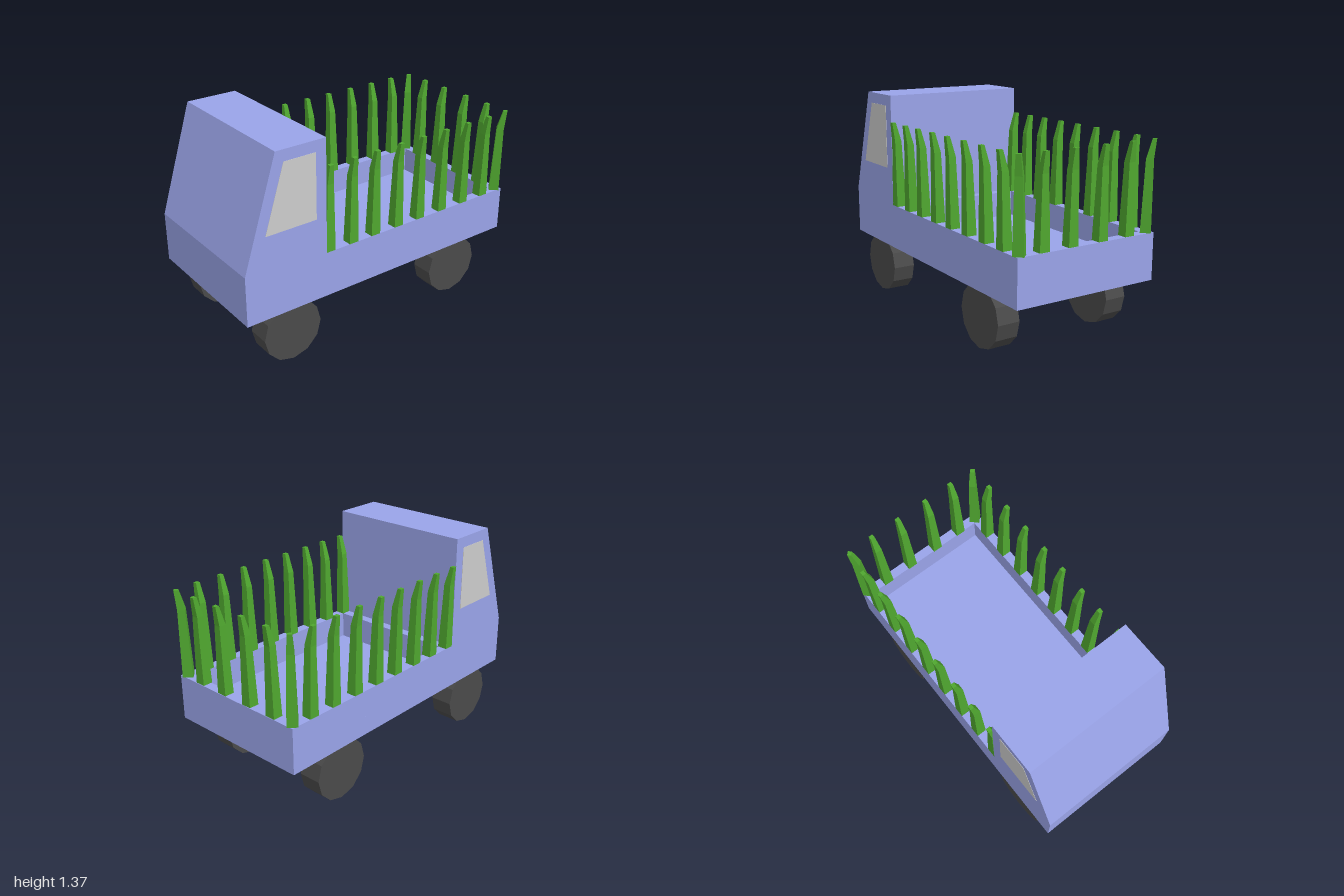
import * as THREE from 'three';

const paint = new THREE.MeshStandardMaterial({ color: 0x99a3e8, flatShading: true });
const glass = new THREE.MeshStandardMaterial({ color: 0xcccccc, flatShading: true });
const rubber = new THREE.MeshStandardMaterial({ color: 0x4a4a4a, flatShading: true });
const green = new THREE.MeshStandardMaterial({ color: 0x4fa62f, flatShading: true });

const HALF = 0.48, BOTTOM = 0.36, RIM = 0.65, FLOOR = 0.48;

function add(parent, name, geometry, material, x = 0, y = 0, z = 0) {
  const mesh = new THREE.Mesh(geometry, material);
  mesh.name = name;
  mesh.position.set(x, y, z);
  parent.add(mesh);
  return mesh;
}

// Side profile given as [z, y] points, extruded along x and centred on x = 0
function sideProfile(points, width) {
  const shape = new THREE.Shape(points.map(([z, y]) => new THREE.Vector2(-z, y)));
  return new THREE.ExtrudeGeometry(shape, { depth: width, bevelEnabled: false })
    .rotateY(Math.PI / 2).translate(-width / 2, 0, 0);
}

const rect = (x0, y0, x1, y1) => [[x0, y0], [x1, y0], [x1, y1], [x0, y1]].map(p => new THREE.Vector2(...p));

// Tapered picket whose tip bends towards local +z
function picketGeometry() {
  // height, inner edge, outer edge, half width
  const rows = [[0, -0.033, 0.03, 0.033], [0.43, -0.015, 0.03, 0.022], [0.55, 0.018, 0.043, 0.014]];
  const geometry = new THREE.BoxGeometry(2, 2, 2, 1, 2, 1);
  const p = geometry.attributes.position;
  for (let i = 0; i < p.count; i++) {
    const [h, inner, outer, half] = rows[Math.round(p.getY(i)) + 1];
    p.setXYZ(i, p.getX(i) * half, h, p.getZ(i) > 0 ? outer : inner);
  }
  geometry.computeVertexNormals();
  return geometry;
}

export function createModel() {
  const truck = new THREE.Group();
  truck.name = 'truck';

  // Solid cab with sloping front
  add(truck, 'cab', sideProfile(
    [[1, BOTTOM], [1, 0.68], [0.78, 1.37], [0.45, 1.37], [0.45, BOTTOM]], HALF * 2), paint);

  // Side windows
  const pane = sideProfile([[0.86, 0.89], [0.73, 1.3], [0.52, 1.3], [0.52, 0.89]], 0.004);
  for (const s of [-1, 1]) add(truck, s > 0 ? 'leftWindow' : 'rightWindow', pane, glass, s * HALF);

  // Cargo bed: floor slab and a rim around the recess
  add(truck, 'bedFloor', new THREE.BoxGeometry(HALF * 2, FLOOR - BOTTOM, 1.44), paint,
    0, (FLOOR + BOTTOM) / 2, -0.27);
  const rim = new THREE.Shape(rect(-HALF, -0.45, HALF, 0.99));
  rim.holes.push(new THREE.Path(rect(-0.42, -0.39, 0.42, 0.93)));
  add(truck, 'bedWalls', new THREE.ExtrudeGeometry(rim, { depth: RIM - FLOOR, bevelEnabled: false })
    .rotateX(-Math.PI / 2), paint, 0, FLOOR, 0);

  // Wheels
  const wheel = new THREE.CylinderGeometry(0.197, 0.197, 0.145, 12).rotateZ(Math.PI / 2);
  for (const s of [-1, 1]) {
    add(truck, 'frontWheel', wheel, rubber, s * 0.39, 0.2, 0.685);
    add(truck, 'rearWheel', wheel, rubber, s * 0.39, 0.2, -0.585);
  }

  // Picket fence around the bed, leaning outwards
  const fence = new THREE.Group();
  fence.name = 'fence';
  truck.add(fence);
  const blade = picketGeometry();
  const picket = (x, z, turn) => { add(fence, 'picket', blade, green, x, RIM, z).rotation.y = turn; };
  for (const s of [-1, 1]) {
    for (const z of [0.42, 0.25, 0.085, -0.095, -0.27, -0.455, -0.64, -0.82]) picket(s * 0.45, z, s * Math.PI / 2);
    picket(s * 0.448, -0.958, s * Math.PI * 0.75);
    for (const x of [0.105, 0.3]) picket(s * x, -0.957, Math.PI);
  }
  return truck;
}
